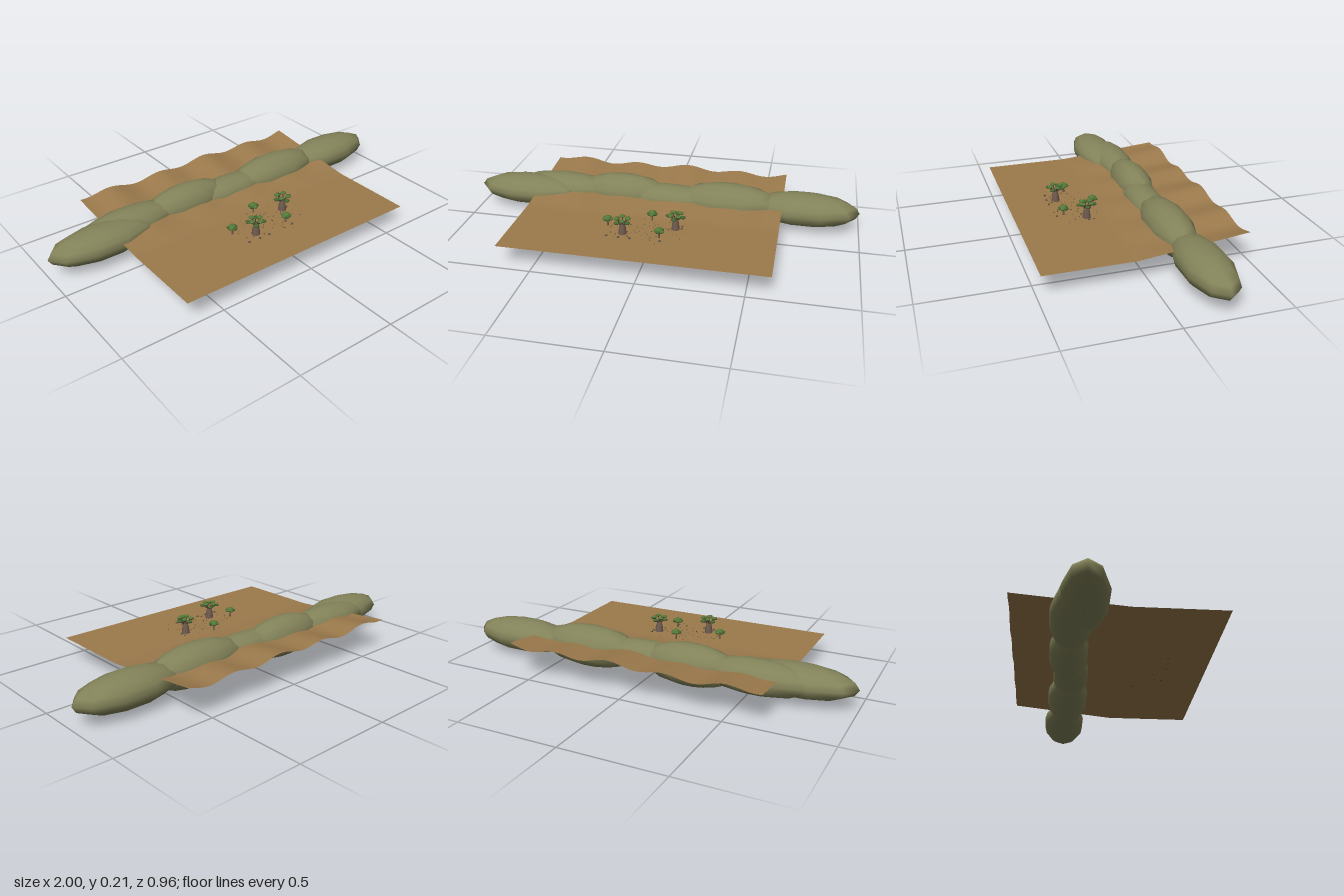
import * as THREE from 'three';

const GROUND = 0.108;

function mat(name, color, side = THREE.FrontSide) {
  const m = new THREE.MeshStandardMaterial({ color, side });
  m.name = name;
  return m;
}

export function createModel() {
  const M = {
    earth: mat('dry earth', 0x9c7a4c, THREE.DoubleSide),
    hill: mat('olive hill', 0x83835a),
    bark: mat('grey bark', 0x6e5a4e),
    wood: mat('dark wood', 0x4a3a2e),
    leaf: mat('leaf green', 0x55793a),
    leafDark: mat('deep leaf green', 0x45662f),
    stone: mat('stone', 0x5f5346),
    grass: mat('dry grass', 0x8f7440),
  };
  const root = new THREE.Group();
  root.name = 'savannaDiorama';

  let seed = 7;
  const rand = () => (seed = (seed * 16807) % 2147483647) / 2147483647;

  function add(parent, name, geo, material, x, y, z, s = [1, 1, 1]) {
    const mesh = new THREE.Mesh(geo, material);
    mesh.name = name;
    mesh.position.set(x, y, z);
    mesh.scale.set(...s);
    parent.add(mesh);
    return mesh;
  }

  // Ground sheet: flat in front, rising in ripples towards the back
  const ground = new THREE.PlaneGeometry(1.28, 0.96, 64, 36);
  ground.rotateX(-Math.PI / 2).translate(-0.03, GROUND, 0);
  const p = ground.attributes.position;
  for (let i = 0; i < p.count; i++) {
    const t = Math.max(0, (0.05 - p.getZ(i)) / 0.53);
    const x = p.getX(i);
    const ripple = 0.011 * Math.sin(x * 22) + 0.005 * Math.sin(x * 9 + 1);
    p.setY(i, GROUND + t * (0.05 + ripple));
  }
  ground.computeVertexNormals();
  add(root, 'ground', ground, M.earth, 0, 0, 0);

  // Ridge of overlapping stretched hills: x, z, radii x, y, z
  const hills = new THREE.Group();
  hills.name = 'hillRidge';
  root.add(hills);
  const hillGeo = new THREE.SphereGeometry(1, 10, 8);
  [
    [-0.72, -0.155, 0.28, 0.077, 0.111],
    [-0.55, -0.205, 0.28, 0.083, 0.1],
    [-0.22, -0.207, 0.25, 0.104, 0.096],
    [0.03, -0.19, 0.25, 0.072, 0.09],
    [0.33, -0.197, 0.28, 0.104, 0.108],
    [0.72, -0.208, 0.275, 0.083, 0.113],
  ].forEach(([x, z, rx, ry, rz]) => add(hills, 'hill', hillGeo, M.hill, x, GROUND, z, [rx, ry, rz]));

  // Straight tapered limb between two points
  function limb(parent, name, a, b, r0, r1, material) {
    const d = b.clone().sub(a);
    const mesh = add(parent, name, new THREE.CylinderGeometry(r1, r0, d.length(), 6), material, 0, 0, 0);
    mesh.position.copy(a).addScaledVector(d, 0.5);
    mesh.quaternion.setFromUnitVectors(new THREE.Vector3(0, 1, 0), d.normalize());
  }

  const leafGeo = new THREE.SphereGeometry(1, 10, 7);
  const trunkGeo = new THREE.LatheGeometry(
    [[0.021, 0], [0.019, 0.012], [0.017, 0.03], [0.012, 0.048], [0.010, 0.056], [0, 0.058]]
      .map(([r, y]) => new THREE.Vector2(r, y)), 10);

  // Fat-trunked tree with a ring of flat leaf pads
  function bottleTree(x, z, turn) {
    const tree = new THREE.Group();
    tree.name = 'bottleTree';
    tree.position.set(x, GROUND, z);
    tree.rotation.y = turn;
    root.add(tree);
    add(tree, 'trunk', trunkGeo, M.bark, 0, 0, 0);
    for (let i = 0; i < 8; i++) {
      const a = (i / 8) * Math.PI * 2;
      const r = i % 2 ? 0.036 : 0.028;
      const y = i % 2 ? 0.068 : 0.079;
      const tip = new THREE.Vector3(Math.cos(a) * r, y, Math.sin(a) * r);
      limb(tree, 'branch', new THREE.Vector3(tip.x * 0.15, 0.05, tip.z * 0.15), tip, 0.0035, 0.0018, M.wood);
      add(tree, 'leafPad', leafGeo, i % 2 ? M.leafDark : M.leaf, tip.x, y, tip.z, [0.014, 0.0065, 0.014]);
    }
  }
  bottleTree(-0.12, 0.235, 0.2);
  bottleTree(0.12, 0.14, 0.7);

  // Slim tree with a rounded cluster of leaves
  function smallTree(x, z, turn) {
    const tree = new THREE.Group();
    tree.name = 'smallTree';
    tree.position.set(x, GROUND, z);
    tree.rotation.y = turn;
    root.add(tree);
    add(tree, 'trunk', new THREE.CylinderGeometry(0.003, 0.005, 0.035, 7), M.bark, 0, 0.0175, 0);
    add(tree, 'crown', leafGeo, M.leaf, 0, 0.041, 0, [0.019, 0.012, 0.019]);
    for (let i = 0; i < 5; i++) {
      const a = (i / 5) * Math.PI * 2;
      add(tree, 'leafClump', leafGeo, i % 2 ? M.leafDark : M.leaf,
        Math.cos(a) * 0.015, 0.036, Math.sin(a) * 0.015, [0.012, 0.008, 0.012]);
    }
  }
  smallTree(-0.21, 0.17, 0);
  smallTree(-0.01, 0.073, 1);
  smallTree(0.06, 0.24, 2);

  // Scattered pebbles, tufts and a few larger rocks
  const scatter = new THREE.Group();
  scatter.name = 'groundScatter';
  root.add(scatter);
  const pebbleGeo = new THREE.IcosahedronGeometry(1, 0);
  for (let i = 0; i < 70; i++) {
    const a = rand() * Math.PI * 2;
    const r = Math.sqrt(rand()) * (0.5 + 0.5 * rand());
    const s = 0.0015 + rand() * 0.0018;
    add(scatter, 'pebble', pebbleGeo, i % 3 ? M.stone : M.wood,
      -0.02 + Math.cos(a) * r * 0.25, GROUND + s * 0.5, 0.2 + Math.sin(a) * r * 0.15, [s, s * 0.7, s]);
  }
  [[-0.19, 0.275], [-0.075, 0.28], [0.07, 0.275], [0.15, 0.135], [-0.13, 0.28]].forEach(([x, z]) =>
    add(scatter, 'rock', pebbleGeo, M.stone, x, GROUND + 0.002, z, [0.008, 0.006, 0.007]));

  const bladeGeo = new THREE.ConeGeometry(0.0015, 0.014, 4).translate(0, 0.007, 0);
  [[-0.09, 0.265], [-0.15, 0.255], [0.09, 0.16], [0.02, 0.26], [-0.19, 0.19]].forEach(([x, z]) => {
    for (let i = 0; i < 5; i++) {
      const blade = add(scatter, 'grassBlade', bladeGeo, M.grass, x, GROUND, z);
      blade.rotation.set((rand() - 0.5) * 1.2, 0, (rand() - 0.5) * 1.2);
    }
  });

  return root;
}
